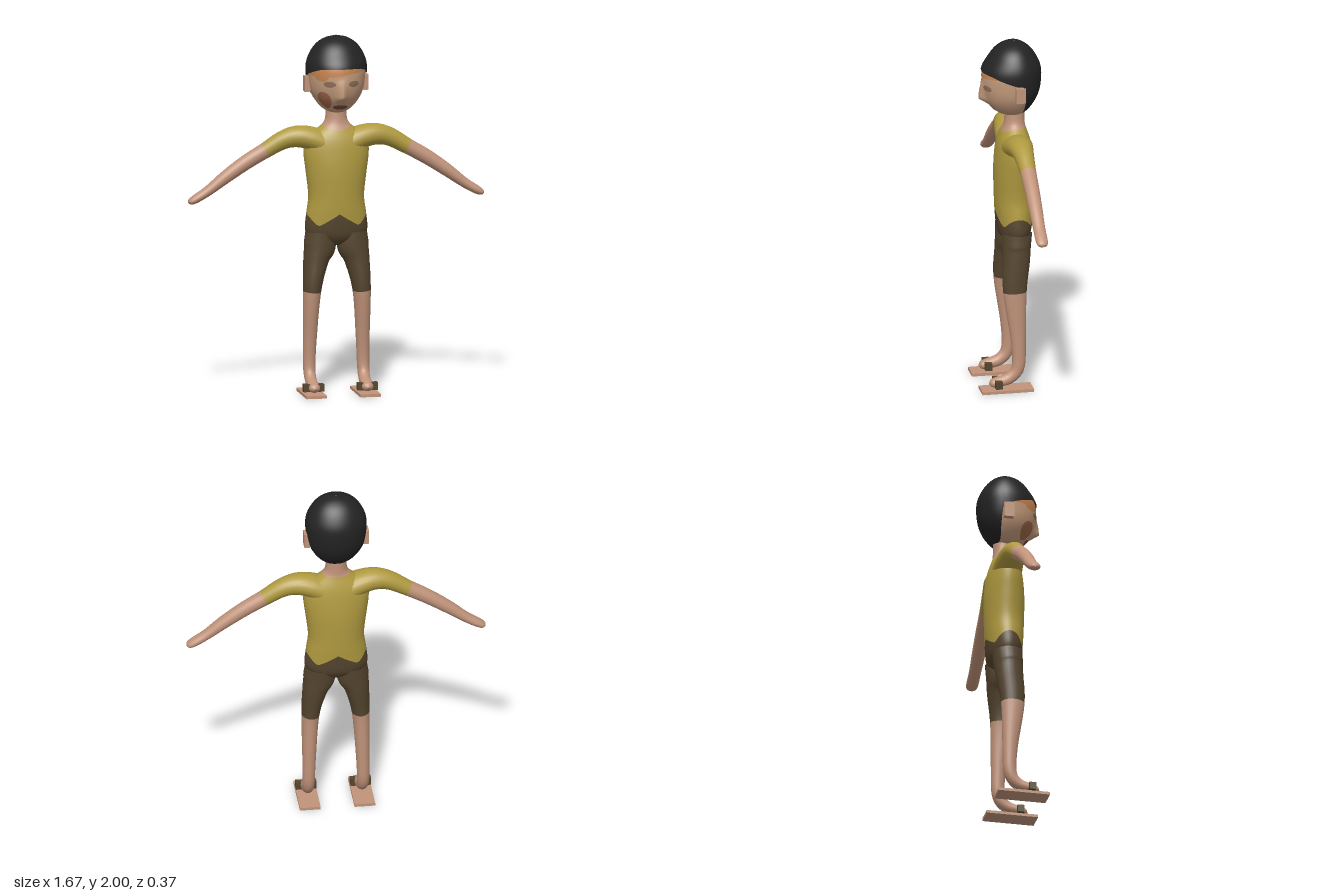
import * as THREE from 'three';

const mat = (name, color) => {
  const m = new THREE.MeshStandardMaterial({ color, side: THREE.DoubleSide });
  m.name = name;
  return m;
};
const lerp = THREE.MathUtils.lerp;

// Smooth lookup in rows of [t, a, b, ...], returning [a, b, ...] at t
function sample(rows, t) {
  const last = rows.length - 1;
  let i = 0;
  while (i < last - 1 && t > rows[i + 1][0]) i++;
  const p = rows[i], q = rows[i + 1], h = q[0] - p[0];
  const u = THREE.MathUtils.clamp((t - p[0]) / h, 0, 1);
  const slope = (k, c) => {
    const a = rows[Math.max(k - 1, 0)], b = rows[Math.min(k + 1, last)];
    return ((b[c] - a[c]) / (b[0] - a[0])) * h;
  };
  return p.slice(1).map((v, k) => {
    const c = k + 1, u2 = u * u, u3 = u2 * u;
    return v * (2 * u3 - 3 * u2 + 1) + q[c] * (3 * u2 - 2 * u3)
      + slope(i, c) * (u3 - 2 * u2 + u) + slope(i + 1, c) * (u3 - u2);
  });
}

// Skin of m rows by n columns; the columns close on themselves unless open is set
function surface(name, mats, m, n, point, matOfRow = () => 0, open = false) {
  const pos = [], idx = [], geo = new THREE.BufferGeometry();
  const cols = open ? n + 1 : n;
  for (let i = 0; i <= m; i++) for (let j = 0; j < cols; j++) pos.push(...point(i, j));
  for (let i = 0; i < m; i++) {
    geo.addGroup(i * n * 6, n * 6, matOfRow(i));
    for (let j = 0; j < n; j++) {
      const a = i * cols + j, b = i * cols + ((j + 1) % cols);
      idx.push(a, b, b + cols, a, b + cols, a + cols);
    }
  }
  geo.setAttribute('position', new THREE.Float32BufferAttribute(pos, 3));
  geo.setIndex(idx);
  geo.computeVertexNormals();
  const mesh = new THREE.Mesh(geo, mats);
  mesh.name = name;
  return mesh;
}

// Limb along rows of [x, y, z, radius along side axis, other radius]; colour changes at row "split"
function limb(name, mats, sections, mirror, side, split) {
  const rows = sections.map(([x, ...r], k) => [k, x * mirror, ...r]);
  const per = 6, n = 24, m = (rows.length - 1) * per;
  const at = t => new THREE.Vector3(...sample(rows, t));
  return surface(name, mats, m, n, (i, j) => {
    const t = i / per, a = (j / n) * Math.PI * 2;
    const T = at(Math.min(t + 0.05, rows.length - 1)).sub(at(Math.max(t - 0.05, 0))).normalize();
    const A = side.clone().addScaledVector(T, -side.dot(T)).normalize();
    const B = T.clone().cross(A);
    const [, , , ra, rb] = sample(rows, t);
    return at(t).addScaledVector(A, Math.cos(a) * ra).addScaledVector(B, Math.sin(a) * rb).toArray();
  }, i => (i < split * per ? 0 : 1));
}

// y, half width, half depth, centre z
const TORSO = [
  [0.83, 0.05, 0.04, -0.025], [0.86, 0.13, 0.075, -0.028], [0.9, 0.172, 0.092, -0.03],
  [1.0, 0.168, 0.103, -0.03], [1.1, 0.156, 0.108, -0.03], [1.25, 0.172, 0.11, -0.03],
  [1.35, 0.183, 0.102, -0.03], [1.42, 0.172, 0.09, -0.03], [1.47, 0.12, 0.074, -0.031],
  [1.5, 0.08, 0.062, -0.032], [1.53, 0.062, 0.057, -0.034], [1.6, 0.056, 0.055, -0.036]];

// y, half width, front z, back z
const HEAD = [
  [1.565, 0.005, -0.02, -0.04], [1.575, 0.045, 0.03, -0.07], [1.6, 0.085, 0.075, -0.1],
  [1.65, 0.125, 0.118, -0.137], [1.7, 0.148, 0.138, -0.16], [1.76, 0.158, 0.148, -0.172],
  [1.84, 0.16, 0.141, -0.172], [1.9, 0.14, 0.107, -0.15], [1.95, 0.104, 0.068, -0.115],
  [1.98, 0.056, 0.02, -0.073], [1.992, 0.003, -0.03, -0.034]];

// Point on the head at angle a from the front, with the nose ridge raised
function headPoint(a, y, scale = 1) {
  const [hw, zf, zb] = sample(HEAD, y), c = Math.cos(a), x = hw * Math.sin(a) * scale;
  let z = -0.03 + c * (c > 0 ? zf + 0.03 : -0.03 - zb) * scale;
  const ramp = y > 1.67 ? 1 - (y - 1.67) / 0.11 : 1 - (1.67 - y) / 0.035;
  if (c > 0) z += 0.04 * Math.max(0, ramp) * Math.exp(-((x / 0.024) ** 2));
  return [x, y, z];
}

// Lower edge of the hair by angle from the front
const HAIRLINE = [[0, 1.835], [0.7, 1.83], [1.1, 1.81], [1.5, 1.785], [1.8, 1.765],
  [1.92, 1.67], [2.05, 1.605], [2.4, 1.585], [3.15, 1.58]];

export function createModel() {
  const model = new THREE.Group();
  model.name = 'figure';
  const skin = mat('skin', 0xc0937a), face = mat('face', 0xc49b7c), hairMat = mat('hair', 0x232323);
  const shirt = mat('shirt', 0xb09a40), shorts = mat('shorts', 0x55452f);
  const orange = mat('forehead tan', 0xc58350), blush = mat('cheek brown', 0xa0674a);
  const eyeMat = mat('eye', 0x8f6e5a), lip = mat('lip', 0x7a4935);

  // Hips, shirt with zigzag hem, and neck
  const turn = (j, n) => (j / n) * Math.PI * 2;
  model.add(surface('torso', [shorts, shirt, skin], 38, 48, (i, j) => {
    const a = turn(j, 48), u = Math.abs(Math.sin(a));
    const hem = u < 0.65 ? lerp(1.01, 0.94, u / 0.65) : lerp(0.94, 1.0, (u - 0.65) / 0.35);
    const collar = 1.5 - 0.025 * Math.max(0, Math.cos(a)) ** 3;
    const y = i <= 8 ? lerp(0.83, hem, i / 8)
      : i <= 32 ? lerp(hem, collar, (i - 8) / 24) : lerp(collar, 1.6, (i - 32) / 6);
    const [hw, hd, zc] = sample(TORSO, y);
    return [hw * Math.sin(a), y, zc + hd * Math.cos(a)];
  }, i => (i < 8 ? 0 : i < 32 ? 1 : 2)));

  // Head and hair
  model.add(surface('head', [face], 40, 64,
    (i, j) => headPoint(turn(j, 64), lerp(1.565, 1.992, i / 40))));
  model.add(surface('hair', [hairMat], 30, 96, (i, j) => {
    const a = turn(j, 96), [low] = sample(HAIRLINE, Math.min(a, Math.PI * 2 - a));
    const t = Math.sin((i / 30) * Math.PI / 2);
    const p = headPoint(a, lerp(low, 1.992, t), 1.055);
    p[1] += 0.008 * t;
    return p;
  }));

  // Thin painted ovals that follow the face
  const oval = (name, m, a, y, da, dy, scale = 1.012) => model.add(surface(name, [m], 4, 24, (i, j) => {
    const r = Math.max(i / 4, 0.01), b = -turn(j, 24);
    const p = headPoint(a + da * r * Math.cos(b), y + dy * r * Math.sin(b), scale);
    p[2] += 0.002;
    return p;
  }));
  model.add(surface('foreheadBand', [orange], 4, 40, (i, j) => {
    const a = lerp(-1.45, 0.95, j / 40);
    return headPoint(a, lerp(1.79 + 0.025 * Math.max(0, Math.sin(a + 0.3)), 1.845, i / 4), 1.01);
  }, undefined, true));
  oval('temple', orange, -0.75, 1.79, 0.28, 0.025, 1.008);
  oval('cheek', blush, -0.75, 1.655, 0.32, 0.05, 1.008);
  oval('mouth', lip, 0, 1.613, 0.42, 0.014);
  for (const s of [-1, 1]) oval('eye', eyeMat, s * 0.45, 1.75, 0.22, 0.017);

  const box = (name, m, w, h, d, x, y, z) => {
    const b = new THREE.Mesh(new THREE.BoxGeometry(w, h, d), m);
    b.name = name;
    b.position.set(x, y, z);
    model.add(b);
  };
  const X = new THREE.Vector3(1, 0, 0), Z = new THREE.Vector3(0, 0, 1);
  for (const s of [1, -1]) {
    const label = s > 0 ? 'left' : 'right';
    // Arm with sleeve
    model.add(limb(label + 'Arm', [shirt, skin], [
      [0.06, 1.39, -0.03, 0.085, 0.07], [0.14, 1.425, -0.03, 0.08, 0.065],
      [0.22, 1.438, -0.03, 0.068, 0.06], [0.3, 1.42, -0.032, 0.055, 0.052],
      [0.4, 1.364, -0.034, 0.045, 0.044], [0.51, 1.3, -0.034, 0.041, 0.041],
      [0.62, 1.225, -0.033, 0.038, 0.036], [0.72, 1.15, -0.033, 0.034, 0.028],
      [0.79, 1.107, -0.033, 0.034, 0.024], [0.822, 1.09, -0.033, 0.026, 0.016],
      [0.832, 1.084, -0.033, 0.002, 0.002]], s, Z, 4));
    // Leg with shorts, bending forward into the foot
    model.add(limb(label + 'Leg', [shorts, skin], [
      [0.09, 0.9, -0.03, 0.082, 0.085], [0.094, 0.82, -0.026, 0.089, 0.081],
      [0.116, 0.74, -0.022, 0.07, 0.076], [0.14, 0.57, -0.01, 0.05, 0.066],
      [0.149, 0.3, -0.027, 0.038, 0.043], [0.152, 0.14, -0.027, 0.034, 0.036],
      [0.151, 0.075, 0.015, 0.032, 0.034], [0.15, 0.052, 0.085, 0.034, 0.029],
      [0.15, 0.045, 0.122, 0.028, 0.022], [0.15, 0.043, 0.138, 0.002, 0.002]], s, X, 3));
    // Sandal and ear
    box(label + 'Sole', skin, 0.115, 0.016, 0.29, s * 0.152, 0.008, 0.04);
    box(label + 'Strap', shorts, 0.115, 0.042, 0.038, s * 0.152, 0.047, 0.09);
    box(label + 'Ear', skin, 0.032, 0.085, 0.055, s * 0.164, 1.732, -0.038);
  }
  return model;
}
